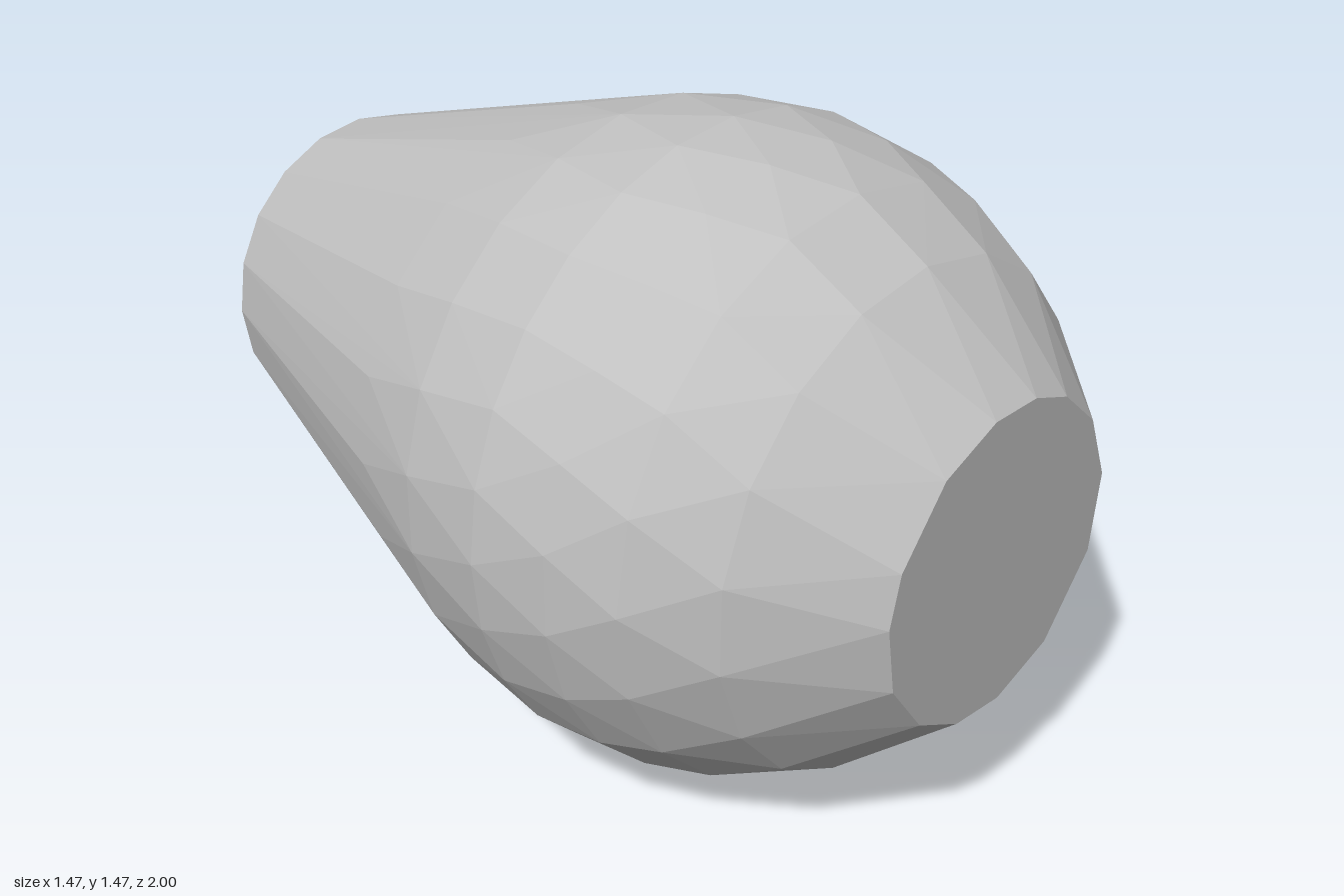
import * as THREE from 'three';
import { ConvexGeometry } from 'three/addons/geometries/ConvexGeometry.js';

const CENTRE_Y = 0.735;

// Point on a ring around the long (z) axis
function ringPoint(radius, angle, z) {
  return new THREE.Vector3(radius * Math.cos(angle), CENTRE_Y + radius * Math.sin(angle), z);
}

export function createModel() {
  const model = new THREE.Group();
  model.name = 'facetedBulb';

  const grey = new THREE.MeshStandardMaterial({ color: 0xc0c0c0 });
  grey.name = 'light grey';
  grey.flatShading = true;

  const points = [];

  // Irregular flat front end
  const frontAngles = [80, 61, 37, 10, -20, -55, -83, -106, -130, -157, 177, 158, 127, 101];
  for (const a of frontAngles) points.push(ringPoint(0.352, THREE.MathUtils.degToRad(a), 1));

  // Rings along the body, staggered so the skin breaks into triangles: z, radius, sides, stagger
  const rings = [
    [0.77, 0.565, 18, 0.5],
    [0.6, 0.662, 20, 0],
    [0.45, 0.712, 24, 0.5],
    [0.27, 0.735, 28, 0],
    [0.04, 0.71, 24, 0.5],
    [-0.19, 0.645, 20, 0],
    [-1, 0.4, 20, 0],
  ];
  for (const [z, radius, sides, stagger] of rings) {
    for (let i = 0; i < sides; i++) {
      points.push(ringPoint(radius, ((i + stagger) / sides) * Math.PI * 2, z));
    }
  }

  // Convex skin over all the rings, with flat ends
  const body = new THREE.Mesh(new ConvexGeometry(points), grey);
  body.name = 'body';
  model.add(body);
  return model;
}
